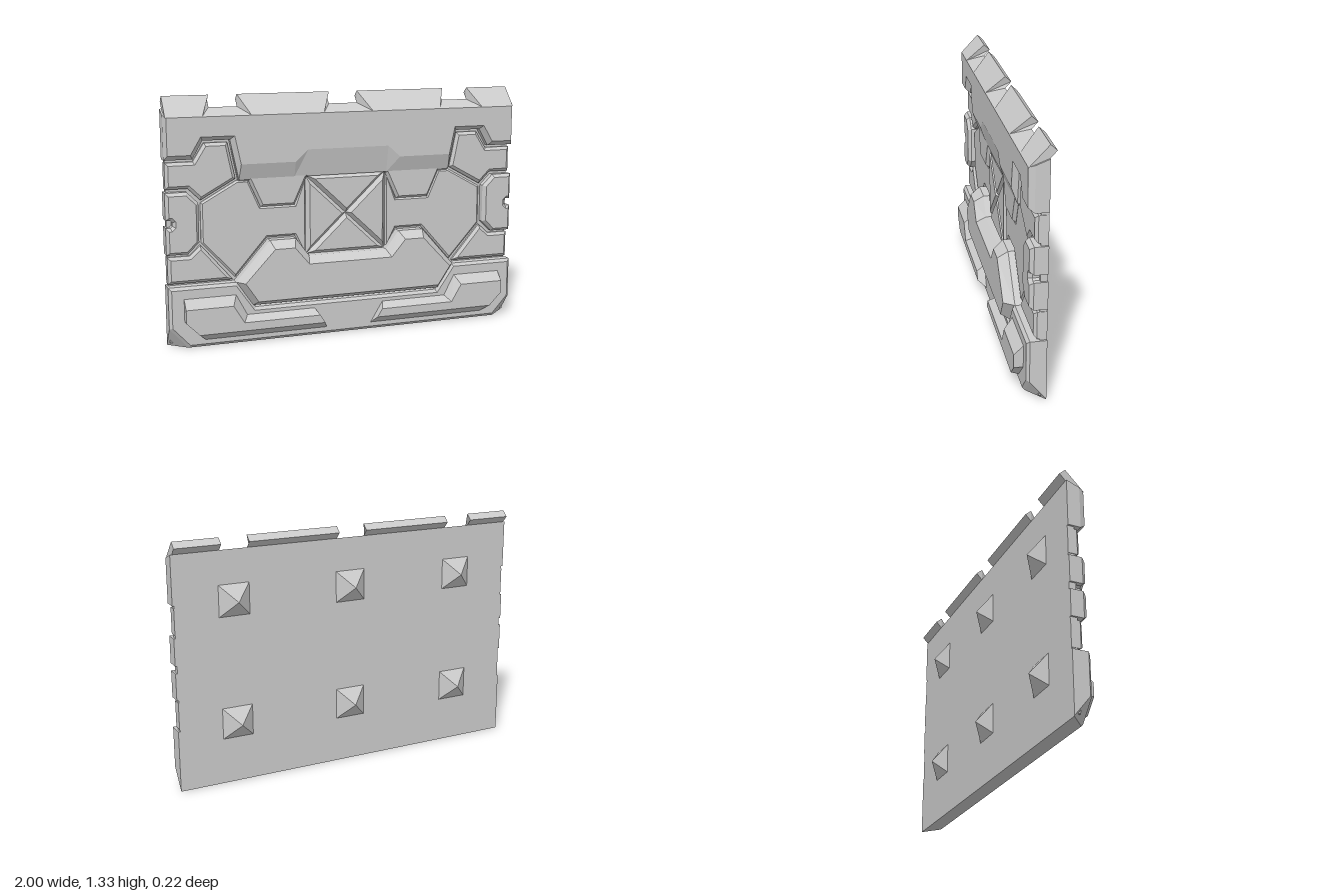
import * as THREE from 'three';

const mat = new THREE.MeshStandardMaterial({ color: 0xcccccc, flatShading: true });
const BACK = -0.04;

const flip = (pts) => pts.map(([x, y]) => [-x, y]);
// Closes a left half outline with its mirror image
const both = (half) => [...half, ...flip(half).reverse()];

// Moves every edge of an outline inwards by d, with mitred corners
function inset(pts, d) {
  const s = THREE.ShapeUtils.area(pts.map(([x, y]) => new THREE.Vector2(x, y))) > 0 ? 1 : -1;
  const n = pts.length;
  const normal = (a, b) => {
    const dx = b[0] - a[0], dy = b[1] - a[1], l = Math.hypot(dx, dy);
    return [(-dy / l) * s, (dx / l) * s];
  };
  return pts.map((p, i) => {
    const a = normal(pts[(i + n - 1) % n], p), b = normal(p, pts[(i + 1) % n]);
    const k = d / Math.max(0.25, 1 + a[0] * b[0] + a[1] * b[1]);
    return [p[0] + (a[0] + b[0]) * k, p[1] + (a[1] + b[1]) * k];
  });
}

// Solid through outlines of equal point count, each given as [outline, z], back to front
function loft(rings) {
  const n = rings[0][0].length;
  const vec = (pts) => pts.map(([x, y]) => new THREE.Vector2(x, y));
  if (THREE.ShapeUtils.isClockWise(vec(rings[0][0]))) {
    rings = rings.map(([p, z]) => [[...p].reverse(), z]);
  }
  const pos = [], idx = [];
  for (const [pts, z] of rings) for (const [x, y] of pts) pos.push(x, y, z);
  for (let r = 0; r < rings.length - 1; r++) {
    for (let i = 0; i < n; i++) {
      const a = r * n + i, b = r * n + ((i + 1) % n);
      idx.push(a, b, b + n, a, b + n, a + n);
    }
  }
  const last = (rings.length - 1) * n;
  for (const [a, b, c] of THREE.ShapeUtils.triangulateShape(vec(rings[0][0]), [])) idx.push(a, c, b);
  for (const [a, b, c] of THREE.ShapeUtils.triangulateShape(vec(rings[rings.length - 1][0]), [])) {
    idx.push(last + a, last + b, last + c);
  }
  const g = new THREE.BufferGeometry();
  g.setAttribute('position', new THREE.Float32BufferAttribute(pos, 3));
  g.setIndex(idx);
  return g;
}

// Plate with a bevelled front edge
const plate = (pts, z0, z1, z2, bevel) => loft([[pts, z0], [pts, z1], [inset(pts, bevel), z2]]);

export function createModel() {
  const model = new THREE.Group();
  const add = (name, geo) => {
    const g = geo.index ? geo.toNonIndexed() : geo;
    g.computeVertexNormals();
    const m = new THREE.Mesh(g, mat);
    m.name = name;
    model.add(m);
    return m;
  };
  // Same part on both sides
  const pair = (name, pts, build) => {
    add(name + 'Right', build(pts));
    add(name + 'Left', build(flip(pts)));
  };

  // Backing sheet, seen at the bottom of the grooves
  add('backing', loft([BACK, -0.003].map((z) =>
    [both([[-0.99, 1.24], [-0.99, 0.02]]), z])));

  // Lower block: bottom corners cut away towards the front
  const lowerTop = [[-0.53, 0.19], [-0.63, 0.335], [-1, 0.335]];
  const lower = both([...lowerTop, [-1, 0.11], [-0.9, 0]]);
  add('lowerBlock', loft([
    [both([...lowerTop, [-1, 0.003], [-0.997, 0]]), BACK],
    [lower, 0.045],
    [inset(lower, 0.016), 0.06],
  ]));

  // Upper block: sloping top, stepped lower edge and a sloped apron
  const upper = (top) => both([[-1, top], [-1, 1.005], [-0.85, 1.005], [-0.795, 1.1],
    [-0.65, 1.1], [-0.605, 0.885], [-0.3, 0.885], [-0.23, 0.885]]);
  add('upperBlock', loft([
    [upper(1.265), BACK],
    [upper(1.238), 0.03],
    [both([[-0.985, 1.226], [-0.985, 1.03], [-0.865, 1.03], [-0.81, 1.122],
      [-0.63, 1.122], [-0.598, 0.97], [-0.3, 0.97], [-0.23, 1.033]]), 0.06],
  ]));
  // Teeth hanging below the apron
  add('apronTeeth', plate(both([[-0.64, 1.05], [-0.605, 0.875], [-0.55, 0.875],
    [-0.485, 0.73], [-0.297, 0.73], [-0.23, 0.875], [-0.2, 0.885], [-0.2, 1]]),
  -0.02, 0.012, 0.031, 0.014));

  // Battlements leaning back, with undercut ends beside each gap
  const battlements = [[-0.99, -0.743, 0, 0.055], [-0.592, -0.08, 0.055, 0.06],
    [0.08, 0.592, 0.06, 0.055], [0.743, 0.99, 0.055, 0]];
  for (const [x0, x1, cut0, cut1] of battlements) {
    const g = new THREE.BoxGeometry(1, 1, 1);
    const p = g.attributes.position;
    for (let i = 0; i < p.count; i++) {
      const front = p.getZ(i) > 0, up = p.getY(i) > 0;
      const [z, y] = front ? (up ? [-0.04, 1.33] : [0.06, 1.225]) : (up ? [-0.073, 1.3] : [-0.04, 1.265]);
      const foot = front && !up ? 1 : 0;
      p.setXYZ(i, p.getX(i) < 0 ? x0 - foot * cut0 * -1 : x1 - foot * cut1, y, z);
    }
    add('battlement', g);
  }

  // Flat panels between the grooves
  const panel = (pts) => plate(pts, BACK, 0.01, 0.025, 0.016);
  pair('upperSidePanel', [[-0.993, 0.99], [-0.845, 0.99], [-0.785, 1.085], [-0.66, 1.085],
    [-0.62, 0.89], [-0.81, 0.785], [-0.875, 0.85], [-0.993, 0.85]], panel);
  pair('lowerSidePanel', [[-0.993, 0.345], [-0.645, 0.345], [-0.815, 0.545],
    [-0.875, 0.49], [-0.993, 0.49]], panel);
  pair('middlePanel', [[-0.81, 0.77], [-0.615, 0.878], [-0.55, 0.878], [-0.485, 0.73],
    [-0.295, 0.73], [-0.235, 0.87], [-0.235, 0.45], [-0.295, 0.56], [-0.45, 0.56],
    [-0.63, 0.355], [-0.81, 0.555]], (pts) => plate(pts, -0.02, 0.004, 0.014, 0.01));

  // Four triangles with crossing grooves between them
  const corners = [[-0.23, 0.885], [0.23, 0.885], [0.23, 0.45], [-0.23, 0.45]];
  corners.forEach((c, i) => add('crossTriangle',
    plate([c, corners[(i + 1) % 4], [0, 0.667]], -0.02, -0.001, 0.024, 0.019)));

  // Side plates with a small notch in the outer edge
  pair('sidePlate', [[-1, 0.835], [-0.885, 0.835], [-0.825, 0.775], [-0.825, 0.565],
    [-0.885, 0.505], [-1, 0.505], [-1, 0.65], [-0.975, 0.65], [-0.965, 0.66],
    [-0.965, 0.68], [-0.975, 0.69], [-1, 0.69]],
  (pts) => plate(pts, BACK, 0.03, 0.05, 0.016));

  // Raised shield in the lower middle
  add('shield', loft([
    [both([[-0.545, 0.2], [-0.635, 0.335], [-0.445, 0.55], [-0.3, 0.55], [-0.225, 0.45]]), -0.02],
    [both([[-0.545, 0.2], [-0.635, 0.335], [-0.445, 0.55], [-0.3, 0.55], [-0.225, 0.45]]), 0.045],
    [both([[-0.525, 0.23], [-0.595, 0.335], [-0.43, 0.51], [-0.32, 0.51], [-0.24, 0.415]]), 0.1],
  ]));

  // Stepped strips along the foot
  const strip = [[-0.92, 0.27], [-0.64, 0.27], [-0.58, 0.155], [-0.2, 0.155],
    [-0.13, 0.04], [-0.81, 0.04], [-0.92, 0.15]];
  const stripFace = [[-0.92, 0.222], [-0.665, 0.222], [-0.607, 0.125], [-0.182, 0.125],
    [-0.154, 0.08], [-0.85, 0.08], [-0.92, 0.15]];
  for (const [side, f] of [['Right', (p) => p], ['Left', flip]]) {
    add('footStrip' + side, loft([[f(strip), 0.05], [f(strip), 0.06], [f(stripFace), 0.108]]));
  }

  // Pyramid studs on the back
  for (const x of [-0.67, 0, 0.67]) {
    for (const y of [0.335, 1]) {
      const g = new THREE.ConeGeometry(0.12, 0.067, 4).rotateY(Math.PI / 4).rotateX(-Math.PI / 2);
      add('backStud', g).position.set(x, y, BACK - 0.0335);
    }
  }
  return model;
}
